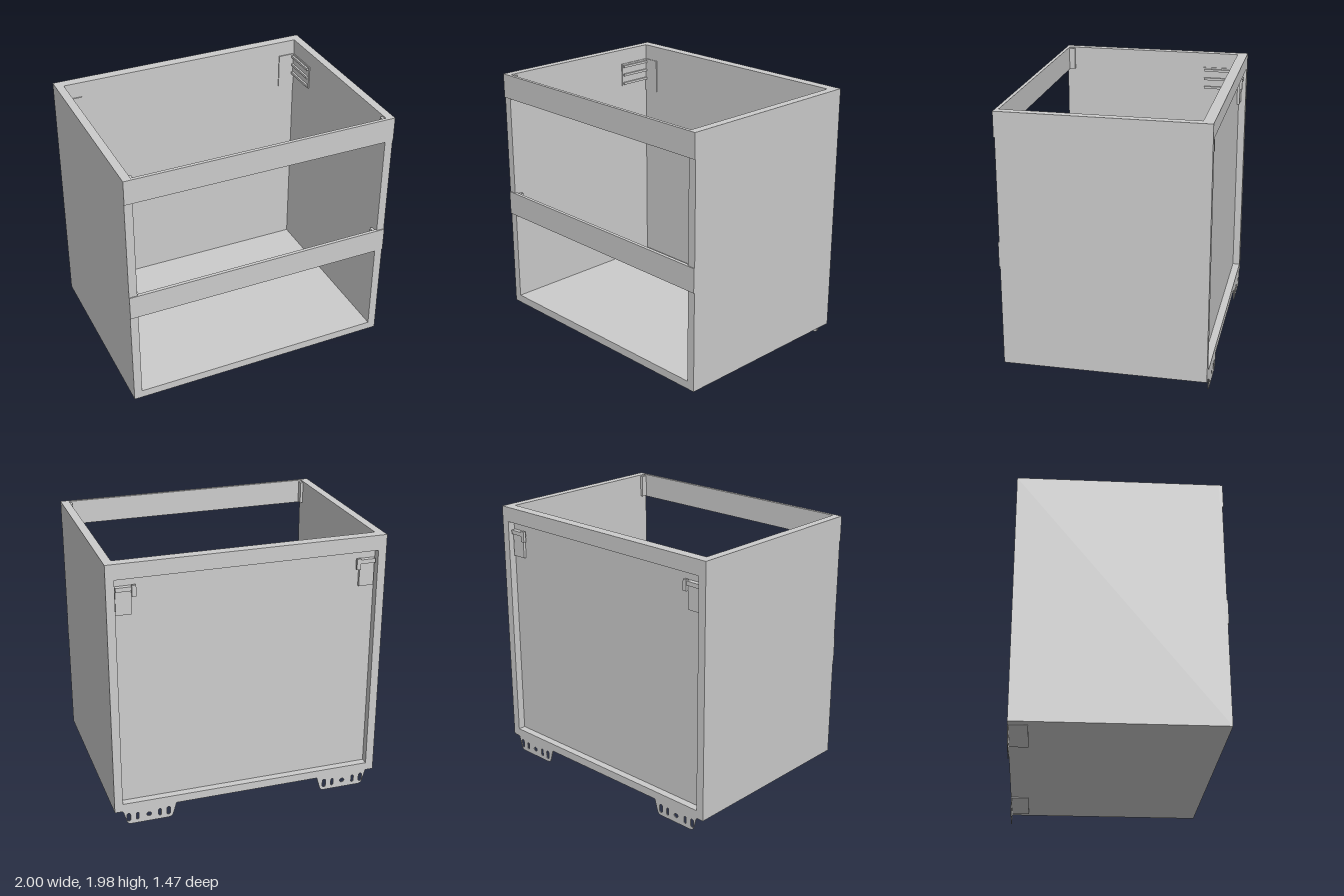
import * as THREE from 'three';

const material = new THREE.MeshStandardMaterial({ color: 0xcccccc, side: THREE.DoubleSide });

// Box given by its lower and upper limits on each axis
function box(parent, name, [x0, x1], [y0, y1], [z0, z1]) {
  const mesh = new THREE.Mesh(new THREE.BoxGeometry(x1 - x0, y1 - y0, z1 - z0), material);
  mesh.position.set((x0 + x1) / 2, (y0 + y1) / 2, (z0 + z1) / 2);
  mesh.name = name;
  parent.add(mesh);
  return mesh;
}

// Upright slot with round ends
function slot(x, y, r, half) {
  const p = new THREE.Path();
  p.absarc(x, y + half, r, 0, Math.PI, false);
  p.absarc(x, y - half, r, Math.PI, Math.PI * 2, false);
  p.closePath();
  return p;
}

// Slotted fixing plate hanging below the floor, with its flange
function fixingPlate() {
  const group = new THREE.Group();
  group.name = 'fixingPlate';
  const s = new THREE.Shape();
  s.moveTo(0.545, 0.11);
  s.lineTo(0.57, 0.025);
  s.quadraticCurveTo(0.577, 0, 0.605, 0);
  s.lineTo(0.88, 0);
  s.quadraticCurveTo(0.908, 0, 0.915, 0.025);
  s.lineTo(0.94, 0.11);
  s.closePath();
  for (const x of [0.605, 0.67, 0.835, 0.9]) {
    s.holes.push(slot(x, 0.055, x === 0.605 || x === 0.9 ? 0.014 : 0.01, 0.018));
  }
  const hole = new THREE.Path();
  hole.absellipse(0.75, 0.055, 0.018, 0.016, 0, Math.PI * 2, false);
  s.holes.push(hole);
  const plate = new THREE.Mesh(
    new THREE.ExtrudeGeometry(s, { depth: 0.006, bevelEnabled: false, curveSegments: 8 }), material);
  plate.position.z = -0.735;
  plate.name = 'slottedPlate';
  group.add(plate);
  box(group, 'flange', [0.545, 0.94], [0.104, 0.11], [-0.735, -0.6]);
  return group;
}

// Wall hanger in the rear top corner
function wallHanger() {
  const group = new THREE.Group();
  group.name = 'wallHanger';
  box(group, 'innerPlate', [0.81, 0.94], [1.6, 1.86], [-0.66, -0.652]);
  box(group, 'rearPlate', [0.82, 0.93], [1.6, 1.8], [-0.7, -0.68]);
  box(group, 'hookArm', [0.8, 0.93], [1.77, 1.8], [-0.715, -0.69]);
  box(group, 'hookTip', [0.79, 0.82], [1.73, 1.81], [-0.72, -0.7]);
  // Channel along the side wall
  box(group, 'arm', [0.932, 0.94], [1.68, 1.86], [-0.68, -0.39]);
  for (const y of [1.69, 1.76, 1.83]) {
    box(group, 'armRib', [0.917, 0.935], [y, y + 0.018], [-0.65, -0.4]);
  }
  return group;
}

export function createModel() {
  const model = new THREE.Group();
  model.name = 'cabinet';
  const inner = [-0.94, 0.94];

  // Carcass
  box(model, 'floor', inner, [0.11, 0.17], [-0.735, 0.728]);
  box(model, 'backPanel', inner, [0.17, 1.87], [-0.68, -0.66]);
  box(model, 'backRail', inner, [1.865, 1.975], [-0.735, -0.66]);

  // Front rails
  const rails = { topRail: [1.795, 1.975], middleRail: [0.86, 1.04] };
  for (const [name, y] of Object.entries(rails)) {
    box(model, name, [-1, 1], y, [0.71, 0.735]);
  }

  // Everything that repeats on both sides
  for (const side of [1, -1]) {
    const half = new THREE.Group();
    half.name = side > 0 ? 'leftHalf' : 'rightHalf';
    box(half, 'sidePanel', [0.94, 1], [0.11, 1.975], [-0.735, 0.728]);
    for (const [y0, y1] of Object.values(rails)) {
      box(half, 'railClip', [0.92, 0.94], [y0 + 0.005, y1 - 0.01], [0.665, 0.71]);
    }
    half.add(fixingPlate(), wallHanger());
    half.scale.x = side;
    model.add(half);
  }
  return model;
}
